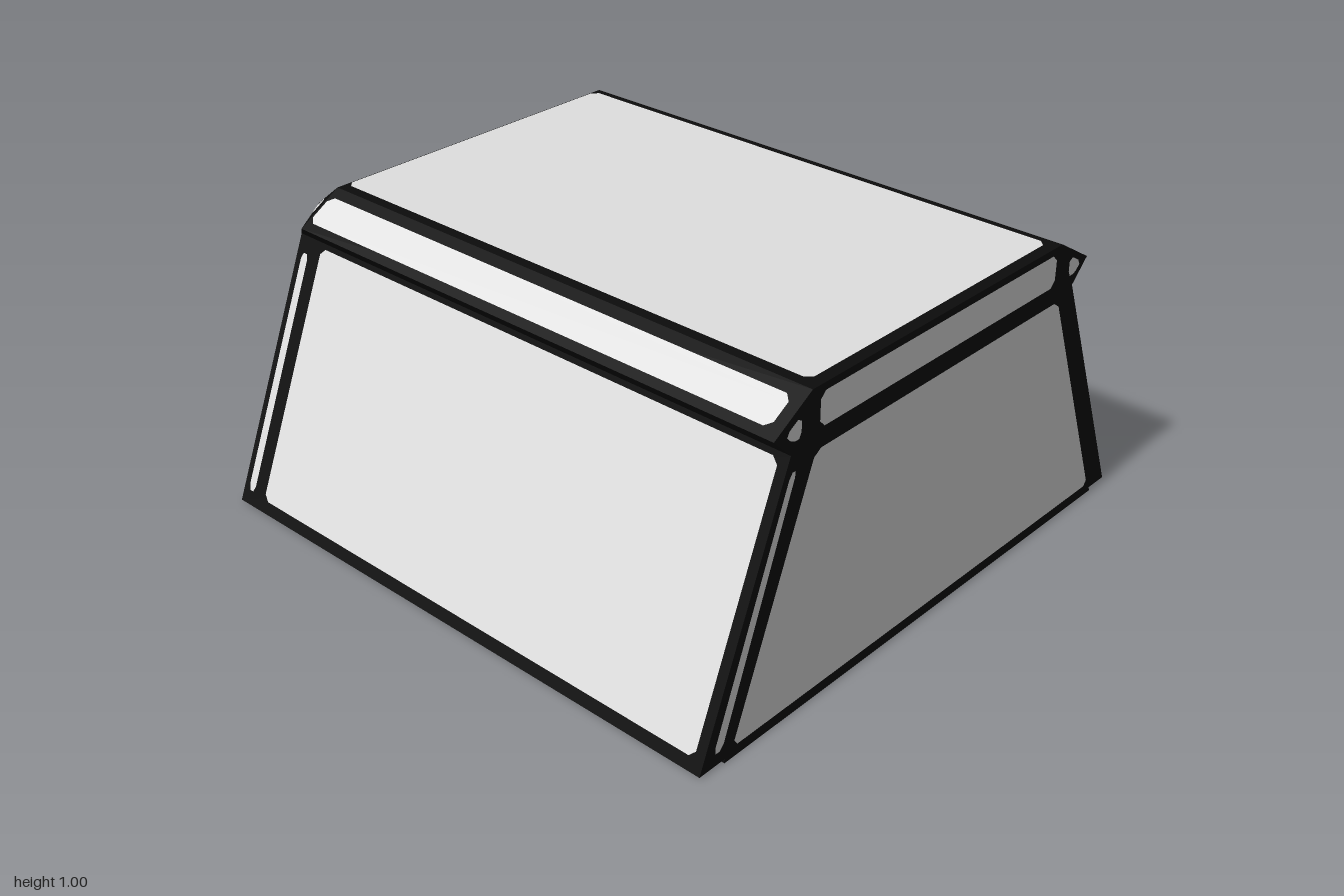
import * as THREE from 'three';

const panelMat = new THREE.MeshStandardMaterial({ color: 0xe0e0e0 });
panelMat.name = 'pale grey';
const edgeMat = new THREE.MeshStandardMaterial({ color: 0x0c0c0c, side: THREE.DoubleSide });
edgeMat.name = 'black';

// flat polygon from corners, counter-clockwise seen from its front
function polygon(pts) {
  const pos = [];
  for (let i = 1; i < pts.length - 1; i++)
    for (const p of [pts[0], pts[i], pts[i + 1]]) pos.push(p.x, p.y, p.z);
  const g = new THREE.BufferGeometry();
  g.setAttribute('position', new THREE.Float32BufferAttribute(pos, 3));
  g.computeVertexNormals();
  return g;
}

export function createModel() {
  const model = new THREE.Group();
  const vec = (pts) => pts.map((p) => new THREE.Vector3(...p));

  function add(name, pts, mat) {
    const mesh = new THREE.Mesh(polygon(pts), mat);
    mesh.name = name;
    model.add(mesh);
  }
  const edge = (name, ...pts) => add(name, vec(pts), edgeMat);

  // pale panel with clipped corners, lifted just off the black shell
  function panel(name, ...corners) {
    const c = vec(corners), n = c.length, out = [];
    const normal = c[1].clone().sub(c[0]).cross(c[2].clone().sub(c[0])).normalize();
    c.forEach((p, i) => {
      for (const q of [c[(i + n - 1) % n], c[(i + 1) % n]]) {
        const d = q.clone().sub(p), len = d.length();
        out.push(p.clone().addScaledVector(d, Math.min(0.02, len * 0.25) / len).addScaledVector(normal, 0.004));
      }
    });
    add(name, out, panelMat);
  }

  // front and back walls, rim bands and end faces
  edge('frontFrame', [-0.91, 0, 0.996], [0.91, 0, 0.996], [0.58, 0.84, 0.996], [-0.58, 0.84, 0.996]);
  panel('frontPanel', [-0.88, 0.04, 0.996], [0.88, 0.04, 0.996], [0.57, 0.82, 0.996], [-0.57, 0.82, 0.996]);
  panel('frontCornerStrip', [-0.95, 0.05, 0.99], [-0.915, 0.05, 0.99], [-0.638, 0.79, 0.99], [-0.662, 0.79, 0.99]);
  edge('frontEnd', [-1, 0.006, 0.99], [1, 0.006, 0.99], [0.66, 0.84, 0.99], [-0.66, 0.84, 0.99]);
  edge('frontRim', [-0.66, 0.84, 0.99], [0.66, 0.84, 0.99], [0.73, 0.91, 0.99],
    [0.58, 1, 0.99], [-0.58, 1, 0.99], [-0.73, 0.91, 0.99]);
  panel('frontRimPanel', [-0.55, 0.875, 0.99], [0.55, 0.875, 0.99], [0.55, 0.98, 0.99], [-0.55, 0.98, 0.99]);

  edge('backFrame', [1, 0.006, -1], [-1, 0.006, -1], [-0.66, 0.84, -1], [-0.58, 0.92, -1],
    [0.58, 0.92, -1], [0.66, 0.84, -1]);
  panel('backPanel', [0.88, 0.04, -1], [-0.88, 0.04, -1], [-0.57, 0.82, -1], [0.57, 0.82, -1]);
  panel('backCornerStrip', [0.95, 0.05, -1], [0.915, 0.05, -1], [0.638, 0.79, -1], [0.662, 0.79, -1]);

  // top and back bevel
  edge('topFrame', [-0.58, 1, 0.99], [0.58, 1, 0.99], [0.58, 1, -0.9], [-0.58, 1, -0.9]);
  panel('topPanel', [-0.55, 1, 0.955], [0.55, 1, 0.955], [0.55, 1, -0.89], [-0.55, 1, -0.89]);
  edge('backBevel', [-0.58, 1, -0.9], [0.58, 1, -0.9], [0.58, 0.92, -1], [-0.58, 0.92, -1]);
  panel('backBevelPanel', [-0.55, 0.968, -0.94], [0.55, 0.968, -0.94], [0.55, 0.94, -0.975], [-0.55, 0.94, -0.975]);

  // sloping sides with overhanging rim, mirrored
  for (const s of [1, -1]) {
    const side = s > 0 ? 'left' : 'right';
    const flip = (pts) => {
      const m = pts.map(([x, y, z]) => [s * x, y, z]);
      return s > 0 ? m : m.reverse();
    };
    const e = (name, ...pts) => edge(side + name, ...flip(pts));
    const p = (name, ...pts) => panel(side + name, ...flip(pts));
    const wallX = (y) => 1 - 0.34 * (y - 0.006) / 0.834;
    const wall = (z0, z1, y0, y1) => [[wallX(y0), y0, z0], [wallX(y0), y0, z1], [wallX(y1), y1, z1], [wallX(y1), y1, z0]];

    e('SideFrame', ...wall(0.99, -1, 0.006, 0.84));
    p('SidePanel', ...wall(0.96, -0.89, 0.045, 0.825));
    if (s < 0) p('SideCornerStrip', ...wall(-0.943, -0.973, 0.05, 0.79));
    e('RimUnderside', [0.66, 0.84, 0.99], [0.66, 0.84, -1], [0.73, 0.91, -0.9], [0.73, 0.91, 0.99]);
    e('RimBevel', [0.73, 0.91, 0.99], [0.73, 0.91, -0.9], [0.58, 1, -0.9], [0.58, 1, 0.99]);
    p('RimBevelPanel', [0.705, 0.925, 0.955], [0.705, 0.925, -0.89], [0.613, 0.98, -0.89], [0.613, 0.98, 0.955]);
    p('RimEndPanel', [0.625, 0.88, 0.99], [0.66, 0.88, 0.99], [0.69, 0.91, 0.99], [0.625, 0.948, 0.99]);

    // clipped back corner with a small facet
    const a = [0.58, 1, -0.9], b = [0.73, 0.91, -0.9], c = [0.58, 0.92, -1];
    const mid = a.map((v, i) => (v + b[i] + c[i]) / 3);
    e('BackCorner', a, b, c);
    p('BackCornerFacet', ...[a, b, c].map((q) => q.map((v, i) => mid[i] + (v - mid[i]) * 0.45)));
    e('BackCornerUnderside', b, [0.66, 0.84, -1], c);

    // hollow inside wall and bottom rim
    e('InnerSideFrame', [0.91, 0, -0.9], [0.91, 0, 0.96], [0.57, 0.81, 0.96], [0.57, 0.81, -0.9]);
    p('InnerSidePanel', [0.9, 0.02, -0.89], [0.9, 0.02, 0.95], [0.574, 0.8, 0.95], [0.574, 0.8, -0.89]);
    e('BottomRim', [0.91, 0.006, 0.99], [0.91, 0.006, -1], [1, 0.006, -1], [1, 0.006, 0.99]);
  }

  // inside ends and ceiling
  for (const [name, z, d] of [['innerFront', 0.96, 1], ['innerBack', -0.9, -1]]) {
    const frame = [[-0.91, 0, z], [0.91, 0, z], [0.57, 0.81, z], [-0.57, 0.81, z]];
    const inset = [[-0.9, 0.01, z], [0.9, 0.01, z], [0.56, 0.8, z], [-0.56, 0.8, z]];
    edge(name + 'Frame', ...frame);
    panel(name + 'Panel', ...(d > 0 ? inset.reverse() : inset));
    const zo = d > 0 ? 0.996 : -1;
    edge(name + 'BottomRim', [-0.91, 0.003, z], [0.91, 0.003, z], [0.91, 0.003, zo], [-0.91, 0.003, zo]);
  }
  edge('ceilingFrame', [-0.57, 0.81, 0.96], [0.57, 0.81, 0.96], [0.57, 0.81, -0.9], [-0.57, 0.81, -0.9]);
  panel('ceilingPanel', [-0.56, 0.81, -0.89], [0.56, 0.81, -0.89], [0.56, 0.81, 0.95], [-0.56, 0.81, 0.95]);

  // narrow strips under the bottom rim
  panel('bottomBackStrip', [-0.89, 0.004, -0.965], [0.89, 0.004, -0.965], [0.89, 0.004, -0.935], [-0.89, 0.004, -0.935]);
  panel('bottomSideStrip', [-0.97, 0.004, -0.87], [-0.94, 0.004, -0.87], [-0.94, 0.004, 0.95], [-0.97, 0.004, 0.95]);

  return model;
}
